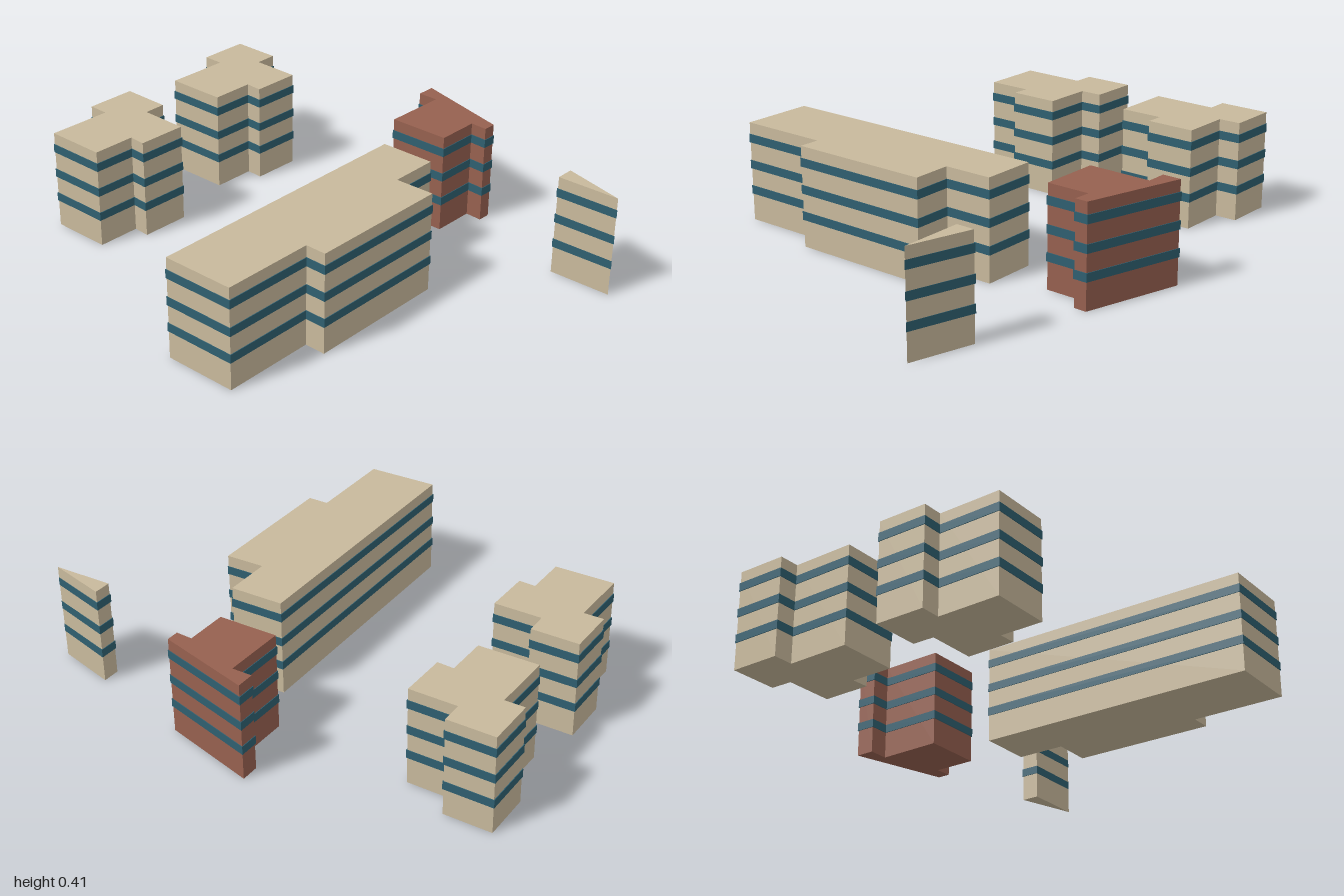
import * as THREE from 'three';

const HEIGHT = 0.413;
const BAND_BOTTOMS = [0.112, 0.22, 0.33];
const BAND_HEIGHT = 0.035;
const CUT_X = 0.803; // straight edge where the site is cut off

const paint = (color) => new THREE.MeshStandardMaterial({ color, flatShading: true });

// Footprint [x, z] extruded upwards
function prism(points, height) {
  const shape = new THREE.Shape(points.map(([x, z]) => new THREE.Vector2(x, -z)));
  const geometry = new THREE.ExtrudeGeometry(shape, { depth: height, bevelEnabled: false });
  return geometry.rotateX(-Math.PI / 2);
}

// Move every edge of a footprint outwards by d, with mitred corners
function outset(points, d) {
  const n = points.length;
  const area = THREE.ShapeUtils.area(points.map(([x, z]) => new THREE.Vector2(x, z)));
  const s = Math.sign(area);
  const normal = (a, b) => {
    const dx = b[0] - a[0], dz = b[1] - a[1], l = Math.hypot(dx, dz);
    return [(s * dz) / l, (-s * dx) / l];
  };
  return points.map((p, i) => {
    const a = normal(points[(i + n - 1) % n], p);
    const b = normal(p, points[(i + 1) % n]);
    const k = d / Math.max(0.4, 1 + a[0] * b[0] + a[1] * b[1]);
    return [p[0] + (a[0] + b[0]) * k, p[1] + (a[1] + b[1]) * k];
  });
}

// Keep only the part of a footprint with x <= CUT_X
function clip(points) {
  const out = [];
  points.forEach((p, i) => {
    const q = points[(i + 1) % points.length];
    if (p[0] <= CUT_X) out.push(p);
    if ((p[0] < CUT_X && q[0] > CUT_X) || (p[0] > CUT_X && q[0] < CUT_X)) {
      const t = (CUT_X - p[0]) / (q[0] - p[0]);
      out.push([CUT_X, p[1] + t * (q[1] - p[1])]);
    }
  });
  return out;
}

export function createModel() {
  const model = new THREE.Group();
  const tan = paint(0xc8b99c), brick = paint(0x96604f), glass = paint(0x2f5f70);

  // Wall block with three rows of ribbon windows
  function building(name, footprint, material) {
    const group = new THREE.Group();
    group.name = name;
    const walls = new THREE.Mesh(prism(footprint, HEIGHT), material);
    walls.name = 'walls';
    group.add(walls);
    const band = prism(outset(footprint, 0.003), BAND_HEIGHT);
    BAND_BOTTOMS.forEach((y, i) => {
      const mesh = new THREE.Mesh(band, glass);
      mesh.name = `windowBand${i + 1}`;
      mesh.position.y = y;
      group.add(mesh);
    });
    model.add(group);
  }

  // Stepped tower plan shared by three buildings
  const tower = [
    [-0.733, -0.593], [-0.474, -0.661], [-0.497, -0.743], [-0.294, -0.799], [-0.241, -0.603],
    [-0.329, -0.577], [-0.276, -0.381], [-0.474, -0.328], [-0.489, -0.397], [-0.664, -0.349],
  ];
  const shifted = (dx, dz) => tower.map(([x, z]) => [x + dx, z + dz]);
  building('backRightTower', tower, tan);
  building('backLeftTower', shifted(0.651, -0.201), tan);
  building('brickTower', clip(shifted(1.225, 0.603)), brick);

  // Long slab with a projecting middle
  building('longBlock', [
    [-0.81, 0.505], [0.331, 0.175], [0.394, 0.394], [0.198, 0.45],
    [0.246, 0.608], [-0.331, 0.772], [-0.354, 0.688], [-0.725, 0.794],
  ], tan);

  // Corner of a building cut by the site edge
  building('cornerSliver', [[0.73, 0.751], [CUT_X, 0.731], [CUT_X, 0.998]], tan);

  return model;
}
